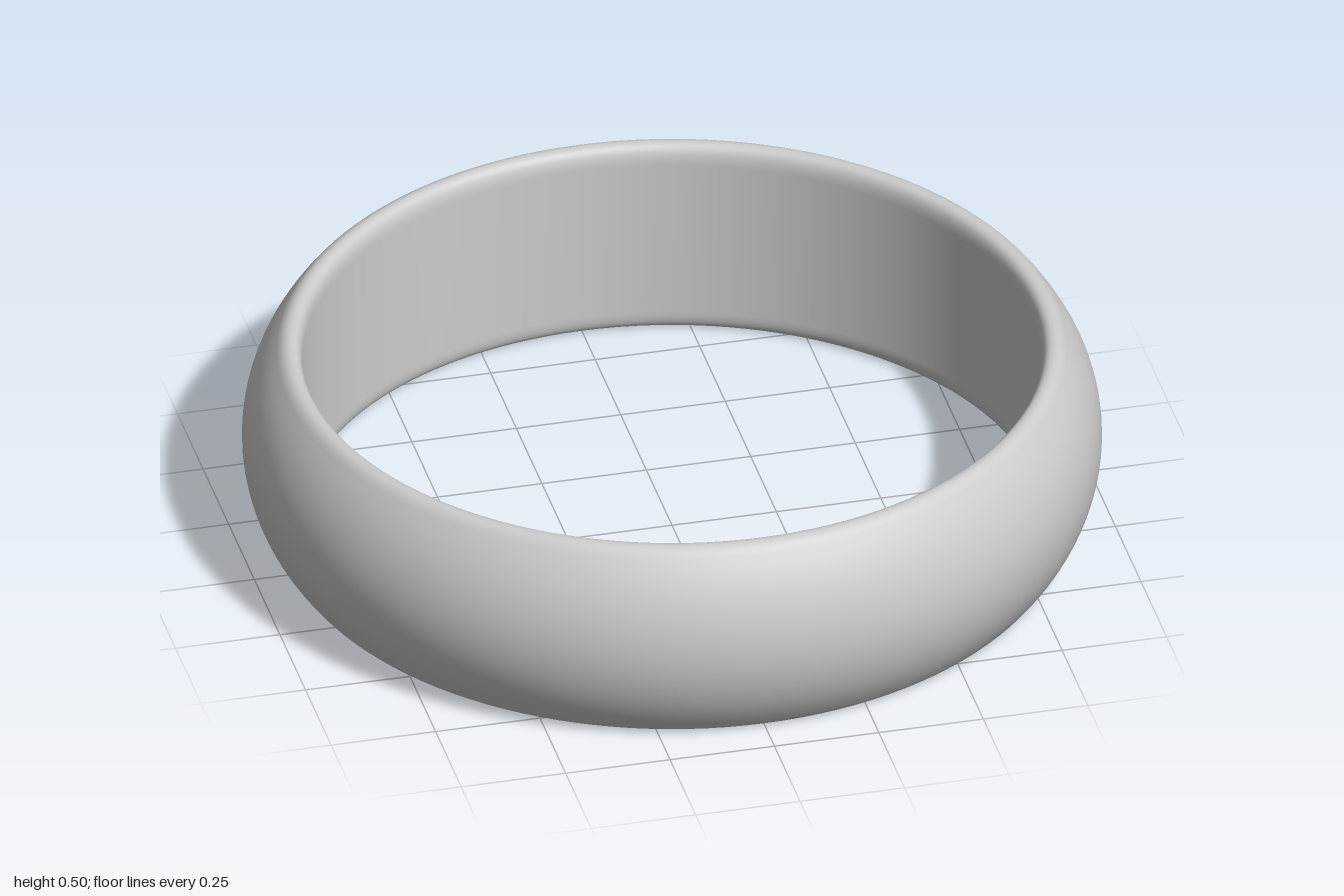
import * as THREE from 'three';

const HEIGHT = 0.5, MID = HEIGHT / 2;
const INNER = 0.86, OUTER = 1;
const BULGE = 0.37; // radius of the domed outer face

export function createModel() {
  const group = new THREE.Group();
  group.name = 'ring';

  // Cross-section, starting and ending halfway up the flat inner wall
  const half = Math.asin(0.23 / BULGE);
  const edgeX = OUTER - BULGE + BULGE * Math.cos(half);
  const profile = new THREE.Path();
  profile.moveTo(INNER, MID);
  profile.lineTo(INNER, 0.05);
  profile.quadraticCurveTo(INNER, 0, 0.888, 0); // lower inner edge
  profile.quadraticCurveTo(0.905, 0, edgeX, 0.02); // lower outer edge
  profile.absarc(OUTER - BULGE, MID, BULGE, -half, half, false); // domed face
  profile.quadraticCurveTo(0.905, HEIGHT, 0.888, HEIGHT); // upper outer edge
  profile.quadraticCurveTo(INNER, HEIGHT, INNER, HEIGHT - 0.05); // upper inner edge
  profile.lineTo(INNER, MID);

  const band = new THREE.Mesh(
    new THREE.LatheGeometry(profile.getPoints(10), 128),
    new THREE.MeshStandardMaterial({ color: 0xcccccc })
  );
  band.name = 'band';
  group.add(band);
  return group;
}
